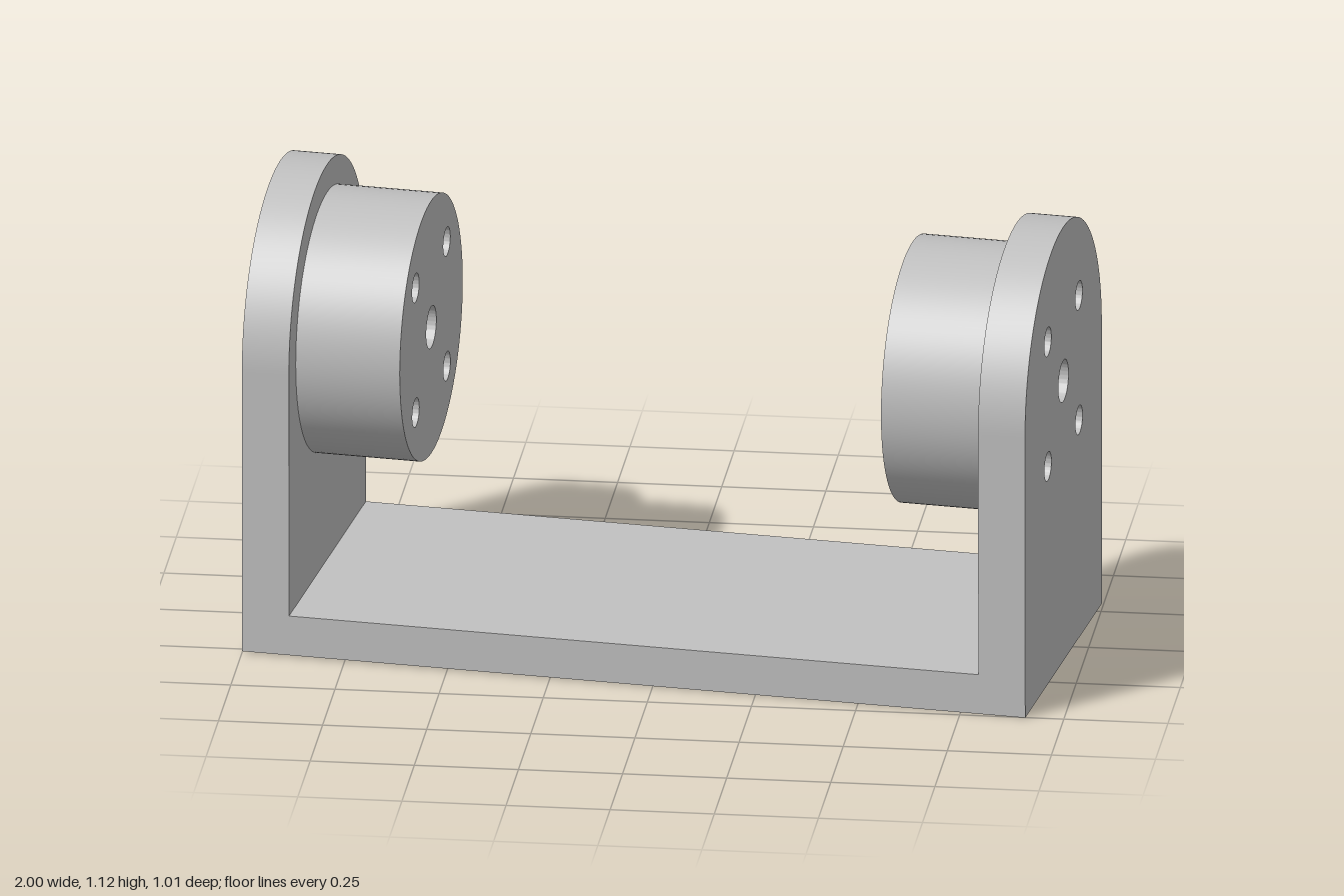
import * as THREE from 'three';
import { toCreasedNormals } from 'three/addons/utils/BufferGeometryUtils.js';

const HALF_LENGTH = 0.96, DEPTH = 0.785, WALL = 0.115, FLOOR = 0.1;
const AXIS_Y = 0.714, BOSS_RADIUS = 0.322, BOSS_LENGTH = 0.255;

// Cuts the centre bore and the four bolt holes, which run along the axis
function drill(shape) {
  const hole = (x, y, r) => shape.holes.push(new THREE.Path().absarc(x, y, r, 0, Math.PI * 2, true));
  hole(0, AXIS_Y, 0.052);
  for (const sx of [-1, 1]) for (const sy of [-1, 1]) hole(sx * 0.159, AXIS_Y + sy * 0.159, 0.036);
  return shape;
}

// Extrudes a profile along x, centred on x = 0
function extrudeAlongX(shape, depth) {
  const geometry = new THREE.ExtrudeGeometry(shape, { depth, bevelEnabled: false, curveSegments: 48 });
  geometry.translate(0, 0, -depth / 2);
  geometry.rotateY(Math.PI / 2);
  return toCreasedNormals(geometry, 0.6);
}

export function createModel() {
  const grey = new THREE.MeshStandardMaterial({ color: 0xc0c0c0 });
  grey.name = 'light grey';

  const bracket = new THREE.Group();
  bracket.name = 'bracket';
  const add = (name, geometry, x, y = 0) => {
    const mesh = new THREE.Mesh(geometry, grey);
    mesh.name = name;
    mesh.position.set(x, y, 0);
    bracket.add(mesh);
  };

  // Floor joining the two uprights
  add('floor', new THREE.BoxGeometry(2 * (HALF_LENGTH - WALL), FLOOR, DEPTH), 0, FLOOR / 2);

  // Round-topped uprights
  const r = DEPTH / 2;
  const arch = new THREE.Shape();
  arch.moveTo(-r, 0);
  arch.lineTo(r, 0);
  arch.lineTo(r, AXIS_Y);
  arch.absarc(0, AXIS_Y, r, 0, Math.PI, false);
  arch.closePath();
  const upright = extrudeAlongX(drill(arch), WALL);

  // Round bosses facing inwards
  const disc = new THREE.Shape().absarc(0, AXIS_Y, BOSS_RADIUS, 0, Math.PI * 2, false);
  const boss = extrudeAlongX(drill(disc), BOSS_LENGTH);

  for (const [side, s] of [['left', 1], ['right', -1]]) {
    add(side + 'Upright', upright, s * (HALF_LENGTH - WALL / 2));
    add(side + 'Boss', boss, s * (HALF_LENGTH - WALL - BOSS_LENGTH / 2));
  }

  // The bracket sits turned and very slightly tilted
  bracket.rotation.set(0.014, -0.117, -0.0025, 'YXZ');
  bracket.position.y = 0.008;

  const model = new THREE.Group();
  model.name = 'mountingBracket';
  model.add(bracket);
  return model;
}
